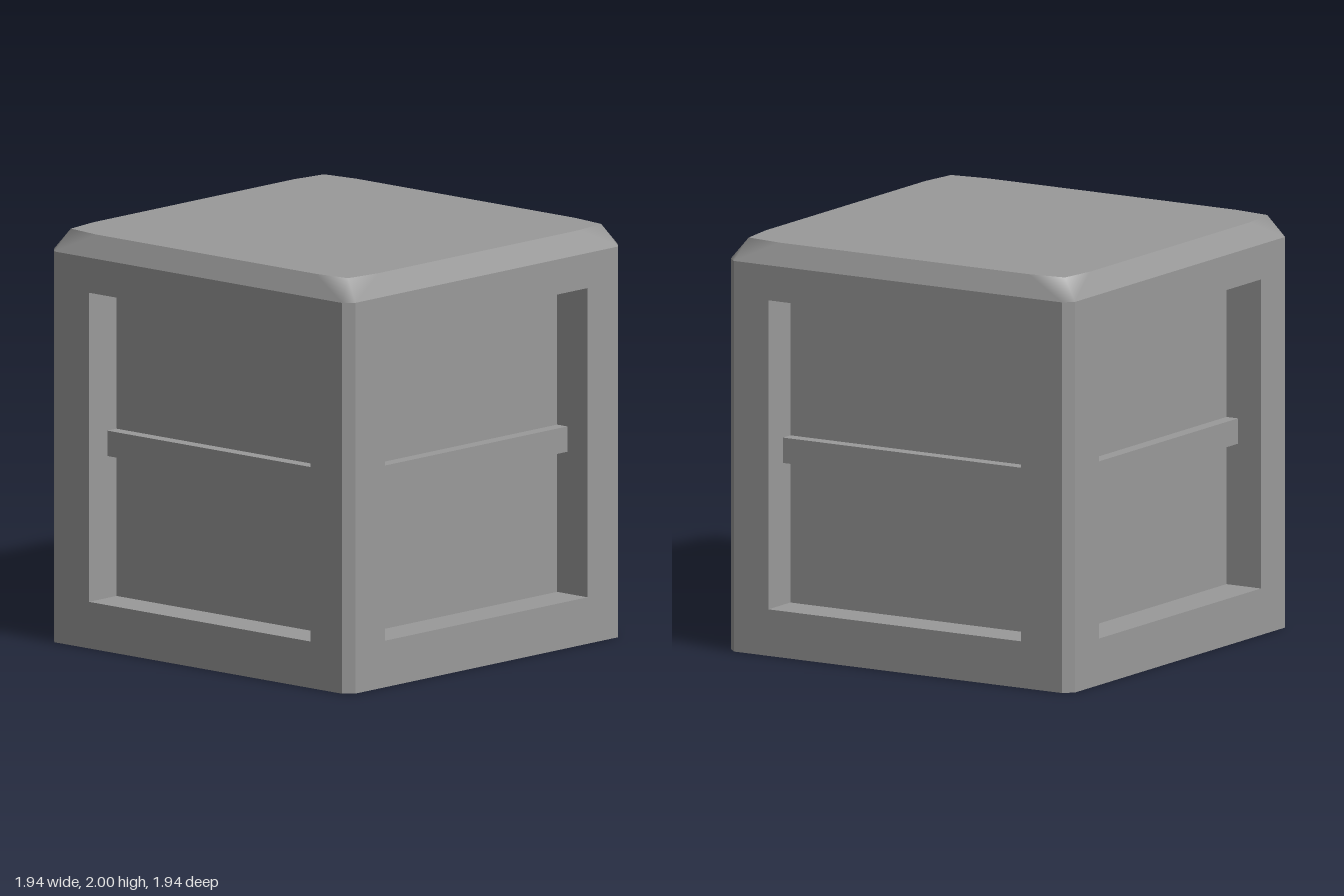
import * as THREE from 'three';

const material = new THREE.MeshStandardMaterial({ color: 0x9a9a9a });

const HALF = 0.972, FLAT = 0.927, RIM = 1.896, TOP = 2;    // body and its corner chamfers
const HOLE_W = 0.714, HOLE_Y0 = 0.226, HOLE_Y1 = 1.726, DEPTH = 0.195;
const LID = 0.918, LID_FLAT = 0.705, LID_CORNER = 0.893;   // outline of the top face

// Flat-shaded surface from convex polygons, corners counter-clockwise from outside
function surface(polygons) {
  const pos = [];
  for (const p of polygons)
    for (let i = 1; i < p.length - 1; i++) pos.push(...p[0], ...p[i], ...p[i + 1]);
  const g = new THREE.BufferGeometry();
  g.setAttribute('position', new THREE.Float32BufferAttribute(pos, 3));
  g.computeVertexNormals();
  return g;
}

function add(parent, name, geometry) {
  const m = new THREE.Mesh(geometry, material);
  m.name = name;
  parent.add(m);
  return m;
}

const rect = (cx, z) => [
  [cx - HOLE_W, HOLE_Y0, z], [cx + HOLE_W, HOLE_Y0, z],
  [cx + HOLE_W, HOLE_Y1, z], [cx - HOLE_W, HOLE_Y1, z],
];

// Rounded top corner, its normals turning smoothly from one bevel to the next
function createTopCorner() {
  const rise = TOP - RIM, run = HALF - LID;
  const front = new THREE.Vector3(0, run, rise).normalize();
  const side = new THREE.Vector3(rise, run, 0).normalize();
  const middle = front.clone().add(side).normalize();
  const points = [
    [FLAT, RIM, HALF], [HALF, RIM, FLAT],
    [LID, TOP, LID_FLAT], [LID_CORNER, TOP, LID_CORNER], [LID_FLAT, TOP, LID],
  ];
  const normals = [front, side, side, middle, front].map((n) => n.toArray());
  const g = new THREE.BufferGeometry();
  g.setAttribute('position', new THREE.Float32BufferAttribute(points.flat(), 3));
  g.setAttribute('normal', new THREE.Float32BufferAttribute(normals.flat(), 3));
  g.setIndex([0, 3, 4, 0, 1, 3, 1, 2, 3]);
  return g;
}

// One side of the crate facing +z, with the corner on its +x end
function createSide(cx) {
  const side = new THREE.Group();

  // Outer frame around the recess
  const shape = new THREE.Shape([[-FLAT, 0], [FLAT, 0], [FLAT, RIM], [-FLAT, RIM]]
    .map(([x, y]) => new THREE.Vector2(x, y)));
  shape.holes.push(new THREE.Path(rect(cx, 0).map(([x, y]) => new THREE.Vector2(x, y))));
  add(side, 'sideFrame', new THREE.ShapeGeometry(shape)).position.z = HALF;

  // Recess walls and back panel
  const outer = rect(cx, HALF), inner = rect(cx, HALF - DEPTH);
  const walls = outer.map((p, i) => {
    const j = (i + 1) % 4;
    return [p, outer[j], inner[j], inner[i]];
  });
  add(side, 'recessedPanel', surface([...walls, inner]));

  // Horizontal bar across the panel
  add(side, 'crossBar', new THREE.BoxGeometry(HOLE_W * 2, 0.123, 0.065))
    .position.set(cx, 0.976, HALF - DEPTH + 0.0325);

  // Chamfered vertical edge
  add(side, 'cornerChamfer', surface([[
    [FLAT, 0, HALF], [HALF, 0, FLAT], [HALF, RIM, FLAT], [FLAT, RIM, HALF],
  ]]));

  // Sloped strip up to the top face
  add(side, 'topBevel', surface([[
    [-FLAT, RIM, HALF], [FLAT, RIM, HALF], [LID_FLAT, TOP, LID], [-LID_FLAT, TOP, LID],
  ]]));

  add(side, 'topCorner', createTopCorner());
  return side;
}

// Horizontal cap from points of one quarter turn, repeated four times
function cap(points, y, faceUp) {
  const ring = [];
  for (let k = 0; k < 4; k++) {
    for (const [x, z] of points) {
      const v = new THREE.Vector3(x, y, z).applyAxisAngle(new THREE.Vector3(0, 1, 0), k * Math.PI / 2);
      ring.push(v.toArray());
    }
  }
  return surface([faceUp ? ring : ring.reverse()]);
}

export function createModel() {
  const crate = new THREE.Group();
  crate.name = 'crate';

  // Four sides in a quarter-turn loop; the recesses sit slightly off centre
  const names = ['frontSide', 'leftSide', 'backSide', 'rightSide'];
  const offsets = [-0.004, -0.018, 0, 0.01];
  names.forEach((name, k) => {
    const side = createSide(offsets[k]);
    side.name = name;
    side.rotation.y = k * Math.PI / 2;
    crate.add(side);
  });

  // Top and bottom faces
  add(crate, 'topFace', cap([[LID_FLAT, LID], [LID_CORNER, LID_CORNER], [LID, LID_FLAT]], TOP, true));
  add(crate, 'bottomFace', cap([[FLAT, HALF], [HALF, FLAT]], 0, false));
  return crate;
}
